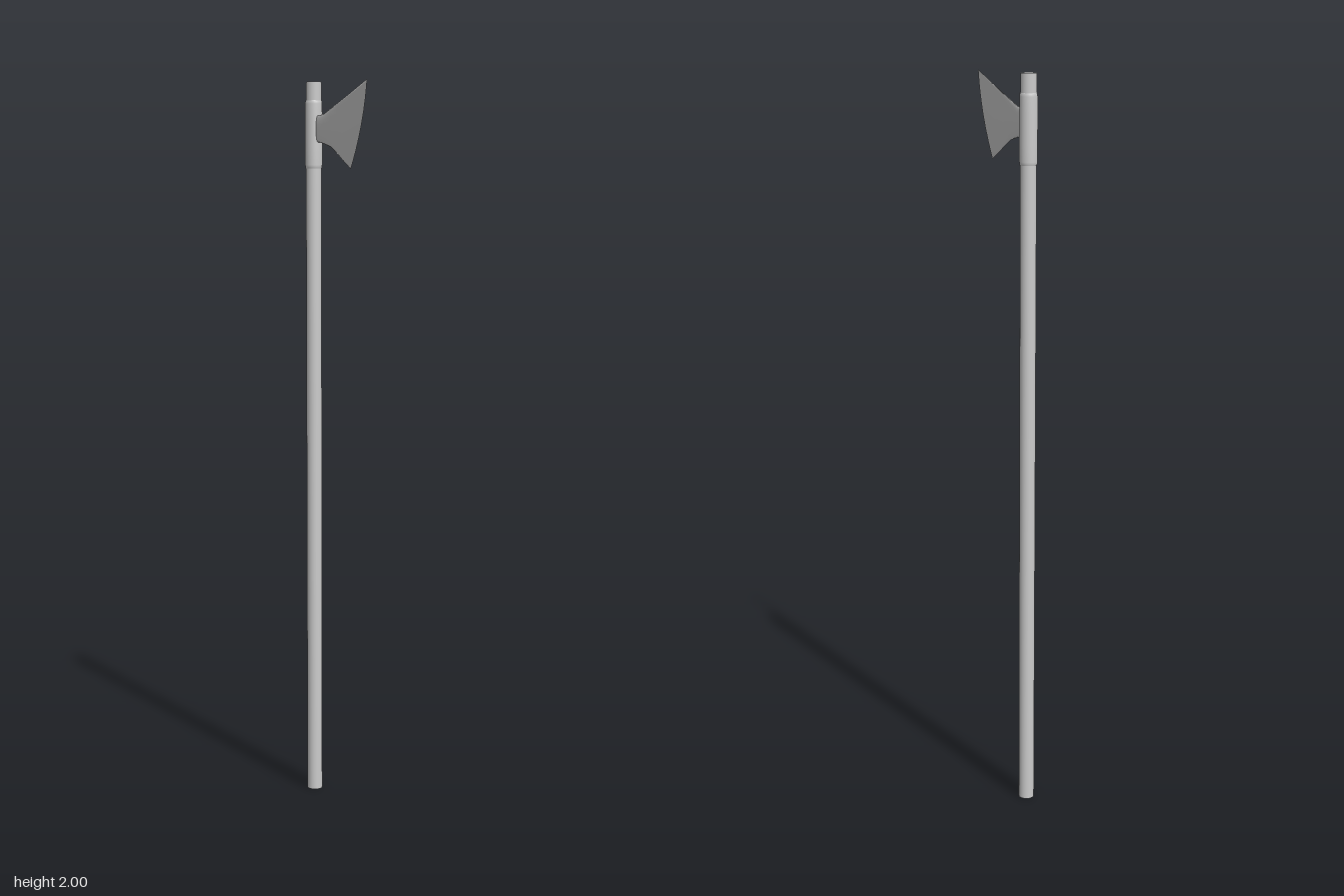
import * as THREE from 'three';

const POLE_Z = -0.138;
const material = new THREE.MeshStandardMaterial({ color: 0xcccccc });

function addPart(group, name, geometry, y = 0, z = 0) {
  const mesh = new THREE.Mesh(geometry, material);
  mesh.name = name;
  mesh.position.set(0, y, z);
  group.add(mesh);
}

// Blade lofted from lens-shaped sections running from the socket to the edge
function bladeGeometry() {
  // [top z, top y, bottom z, bottom y, half thickness, forward bulge]
  const stations = [
    [-0.125, 1.91, -0.125, 1.838, 0.0055, 0],
    [-0.105, 1.909, -0.105, 1.837, 0.005, 0],
    [-0.075, 1.913, -0.075, 1.832, 0.0042, 0],
    [-0.04, 1.925, -0.038, 1.823, 0.0033, 0],
    [0.0, 1.938, -0.005, 1.806, 0.0022, 0.003],
    [0.075, 1.963, 0.033, 1.785, 0.0013, 0.008],
    [0.161, 1.993, 0.074, 1.764, 0.0003, 0.014],
  ];
  const ring = 20, positions = [], indices = [];
  for (const [tz, ty, bz, by, half, bulge] of stations) {
    for (let i = 0; i < ring; i++) {
      const a = (i / ring) * Math.PI * 2;
      const u = (1 - Math.cos(a)) / 2; // 0 at the top, 1 at the bottom
      positions.push(
        half * Math.sin(a),
        ty + (by - ty) * u,
        tz + (bz - tz) * u + bulge * 4 * u * (1 - u),
      );
    }
  }
  for (let s = 0; s < stations.length - 1; s++) {
    for (let i = 0; i < ring; i++) {
      const a = s * ring + i, b = s * ring + (i + 1) % ring;
      indices.push(a, a + ring, b, b, a + ring, b + ring);
    }
  }
  // Close the cutting edge
  const last = (stations.length - 1) * ring;
  for (let i = 1; i < ring - 1; i++) indices.push(last, last + i + 1, last + i);
  const geometry = new THREE.BufferGeometry();
  geometry.setAttribute('position', new THREE.Float32BufferAttribute(positions, 3));
  geometry.setIndex(indices);
  geometry.computeVertexNormals();
  return geometry;
}

export function createModel() {
  const group = new THREE.Group();
  group.name = 'longAxe';

  // Long straight handle
  addPart(group, 'handle', new THREE.CylinderGeometry(0.0212, 0.0212, 2, 24), 1, POLE_Z);

  // Socket collar gripping the handle, slightly eased at both ends
  const profile = [
    [0.0205, 1.767], [0.0226, 1.767], [0.0235, 1.776], [0.0238, 1.82],
    [0.0238, 1.9], [0.0235, 1.941], [0.0226, 1.95], [0.0205, 1.95],
  ].map(([r, y]) => new THREE.Vector2(r, y));
  addPart(group, 'collar', new THREE.LatheGeometry(profile, 32), 0, POLE_Z);

  // Flared axe blade; the loft winding is set for outward faces
  const blade = bladeGeometry();
  const index = blade.getIndex();
  const normalX = blade.getAttribute('normal').getX(5);
  if (normalX < 0) {
    for (let i = 0; i < index.count; i += 3) {
      const b = index.getX(i + 1);
      index.setX(i + 1, index.getX(i + 2));
      index.setX(i + 2, b);
    }
    blade.computeVertexNormals();
  }
  addPart(group, 'blade', blade);

  return group;
}
